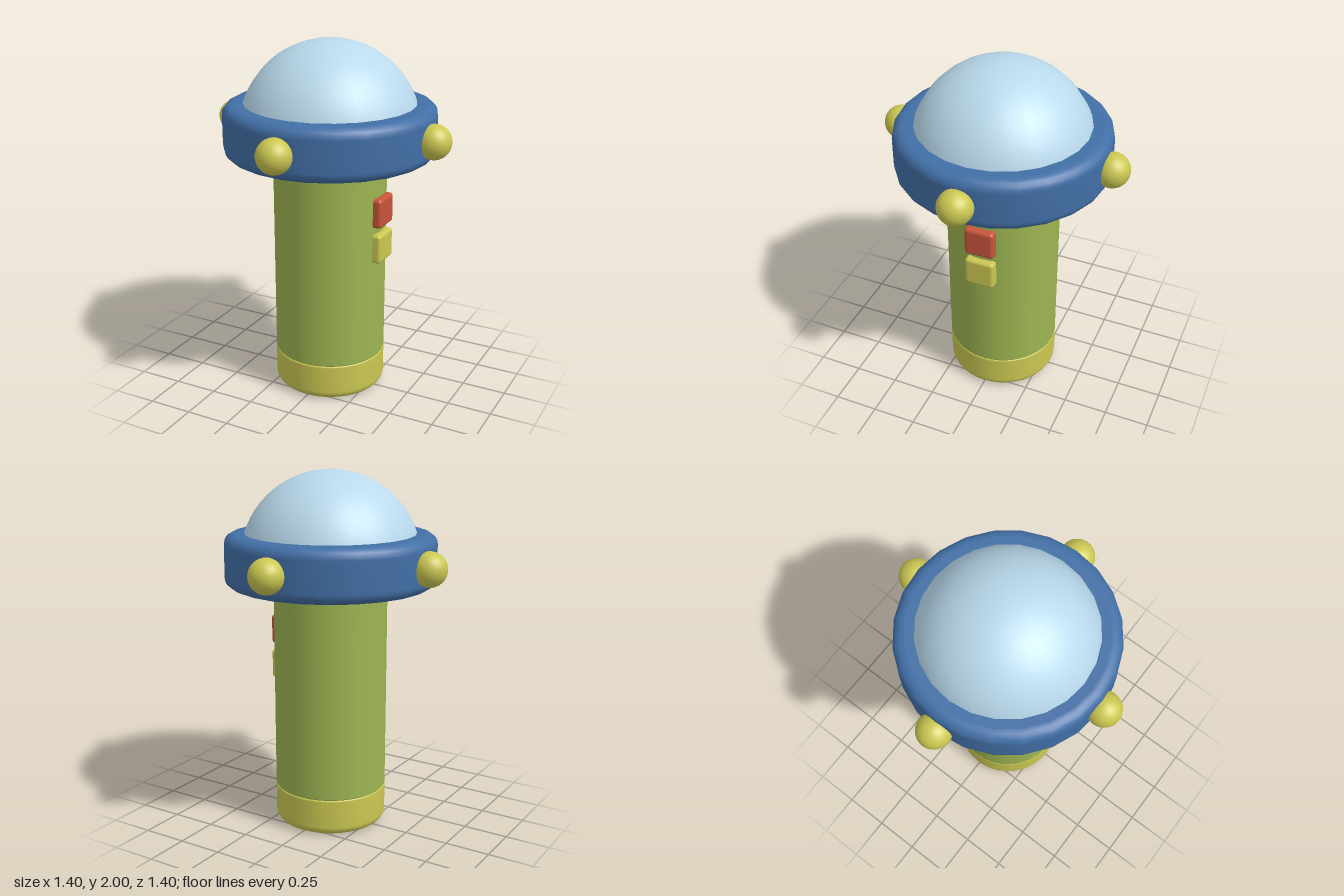
import * as THREE from 'three';
import { RoundedBoxGeometry } from 'three/addons/geometries/RoundedBoxGeometry.js';

const GREEN = 0x9db552, YELLOW = 0xcbc852, BLUE = 0x426fa6, RED = 0xc9543a, GLASS = 0xb9d9ec;

function addPart(parent, name, geometry, color, x = 0, y = 0, z = 0) {
  const mesh = new THREE.Mesh(geometry, new THREE.MeshStandardMaterial({ color }));
  mesh.name = name;
  mesh.position.set(x, y, z);
  parent.add(mesh);
  return mesh;
}

// Closed round drum from y0 to y1, with separate fillets at its bottom and top rims
function drum(radius, y0, y1, bottomFillet, topFillet, segments) {
  const points = [new THREE.Vector2(0, y0), new THREE.Vector2(radius - bottomFillet - 0.005, y0)];
  const arc = (fillet, cy, start) => {
    for (let i = 0; i <= 5; i++) {
      const a = start + (i / 5) * Math.PI / 2;
      points.push(new THREE.Vector2(radius - fillet + fillet * Math.cos(a), cy + fillet * Math.sin(a)));
    }
  };
  arc(bottomFillet, y0 + bottomFillet, -Math.PI / 2);
  arc(topFillet, y1 - topFillet, 0);
  points.push(new THREE.Vector2(radius - topFillet - 0.005, y1), new THREE.Vector2(0, y1));
  return new THREE.LatheGeometry(points, segments);
}

export function createModel() {
  const model = new THREE.Group();
  model.name = 'torch';

  // Handle and end cap, with a fine seam between them
  addPart(model, 'endCap', drum(0.315, 0, 0.212, 0.05, 0.008, 40), YELLOW);
  addPart(model, 'handle', drum(0.315, 0.212, 1.4, 0.008, 0.008, 40), GREEN);

  // Wide collar around the head
  addPart(model, 'collar', drum(0.585, 1.37, 1.66, 0.06, 0.06, 24), BLUE);

  // Domed lens rising out of the collar
  addPart(model, 'lensDome', new THREE.SphereGeometry(0.497, 24, 16, 0, Math.PI * 2, 0, Math.PI / 2),
    GLASS, 0, 1.503, 0);

  // Four knobs spaced evenly around the collar
  const knobs = new THREE.Group();
  knobs.name = 'knobs';
  model.add(knobs);
  for (let i = 0; i < 4; i++) {
    const a = i * Math.PI / 2;
    addPart(knobs, 'knob', new THREE.SphereGeometry(0.095, 24, 16), YELLOW,
      0.605 * Math.sin(a), 1.512, 0.605 * Math.cos(a));
  }

  // Two push buttons on the left side of the handle
  const button = new RoundedBoxGeometry(0.08, 0.167, 0.17, 4, 0.02);
  addPart(model, 'upperButton', button, RED, 0.31, 1.09, 0);
  addPart(model, 'lowerButton', button, YELLOW, 0.31, 0.885, 0);

  return model;
}
